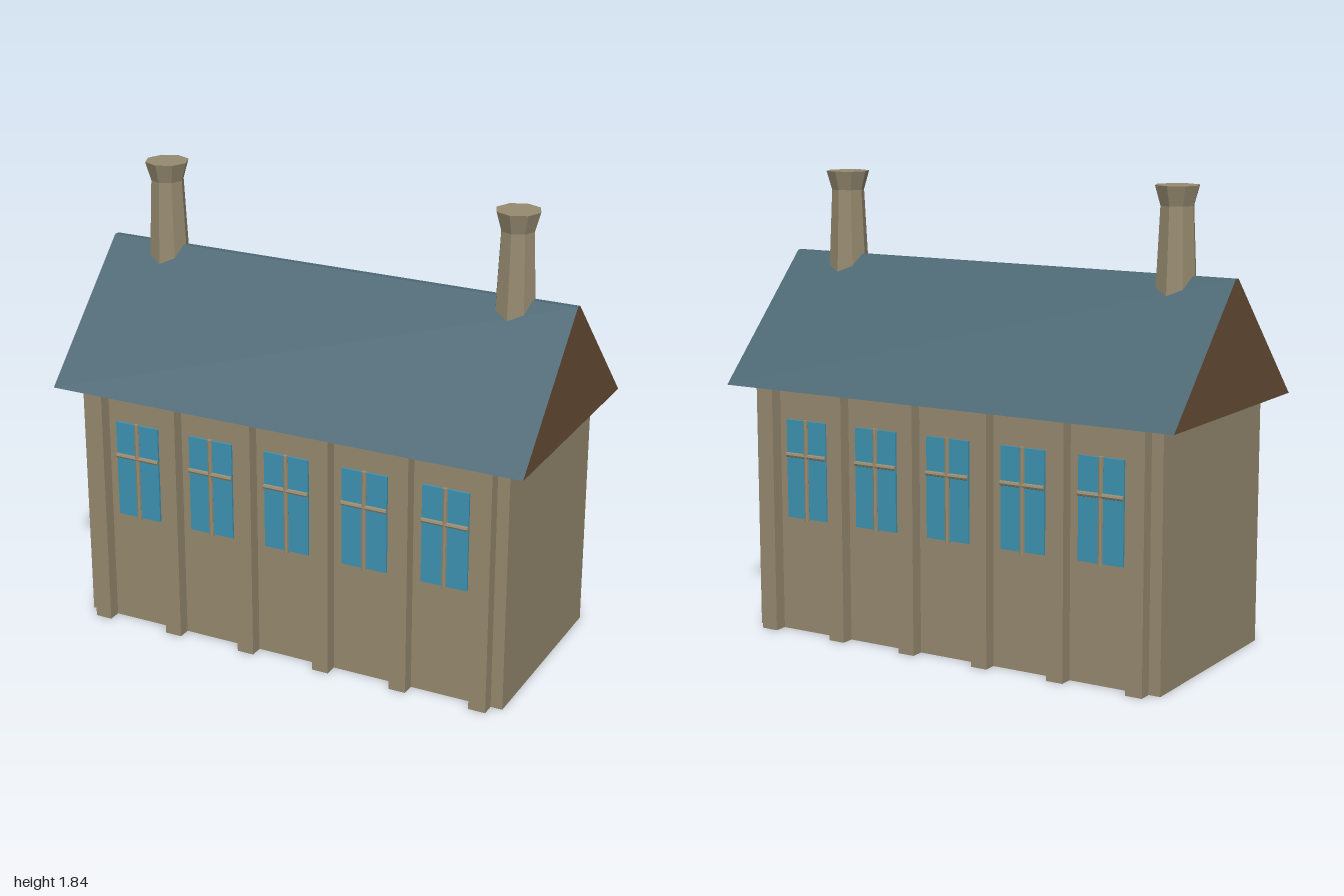
import * as THREE from 'three';

const mat = (name, color) => {
  const m = new THREE.MeshStandardMaterial({ color, flatShading: true });
  m.name = name;
  return m;
};

export function createModel() {
  const stone = mat('stone', 0x968a70);
  const slate = mat('slate', 0x4c6874);
  const wood = mat('gable wood', 0x694e37);
  const glass = mat('glass', 0x3d93b3);

  const model = new THREE.Group();
  model.name = 'hall';

  const add = (parent, name, geometry, material, x, y, z) => {
    const mesh = new THREE.Mesh(geometry, material);
    mesh.name = name;
    mesh.position.set(x, y, z);
    parent.add(mesh);
    return mesh;
  };

  // Main walls
  const wallZ = 0.415;
  add(model, 'walls', new THREE.BoxGeometry(1.836, 1, wallZ * 2), stone, 0, 0.5, 0);

  // Solid gabled roof with a narrow flat ridge: wooden ends, slate slopes and eaves
  const section = new THREE.Shape([
    new THREE.Vector2(-0.5, 1), new THREE.Vector2(0.5, 1),
    new THREE.Vector2(0.012, 1.5), new THREE.Vector2(-0.012, 1.5),
  ]);
  const roof = new THREE.ExtrudeGeometry(section, { depth: 2, bevelEnabled: false });
  roof.translate(0, 0, -1).rotateY(Math.PI / 2);
  add(model, 'roof', roof, [wood, slate], 0, 0, 0);

  // Long sides: pilasters and windows, repeated front and back
  const pilaster = new THREE.BoxGeometry(0.07, 1, 0.053);
  const pane = new THREE.BoxGeometry(0.19, 0.4, 0.009);
  const upright = new THREE.CylinderGeometry(0.01, 0.01, 0.412, 8);
  const crossbar = new THREE.CylinderGeometry(0.01, 0.01, 0.19, 8).rotateZ(Math.PI / 2);

  for (const [sideName, turn] of [['front', 0], ['back', Math.PI]]) {
    const side = new THREE.Group();
    side.name = sideName + 'Side';
    side.rotation.y = turn;
    model.add(side);

    for (let i = 0; i < 6; i++) {
      add(side, 'pilaster', pilaster, stone, (i - 2.5) * 0.334, 0.5, wallZ + 0.0265);
    }
    for (let i = 0; i < 5; i++) {
      const win = new THREE.Group();
      win.name = 'window';
      win.position.set((i - 2) * 0.334, 0.67, wallZ);
      side.add(win);
      add(win, 'pane', pane, glass, 0, 0, 0.0045);
      add(win, 'upright', upright, stone, 0, -0.002, 0.01);
      add(win, 'crossbar', crossbar, stone, 0, 0.057, 0.01);
    }
  }

  // Octagonal chimneys, tapering to a neck and flaring at the top
  for (const x of [-0.75, 0.75]) {
    const chimney = new THREE.Group();
    chimney.name = 'chimney';
    chimney.position.x = x;
    model.add(chimney);
    add(chimney, 'shaft', new THREE.CylinderGeometry(0.066, 0.084, 0.38, 8, 1, true), stone, 0, 1.57, 0);
    add(chimney, 'cap', new THREE.CylinderGeometry(0.088, 0.066, 0.076, 8), stone, 0, 1.798, 0);
  }

  return model;
}
